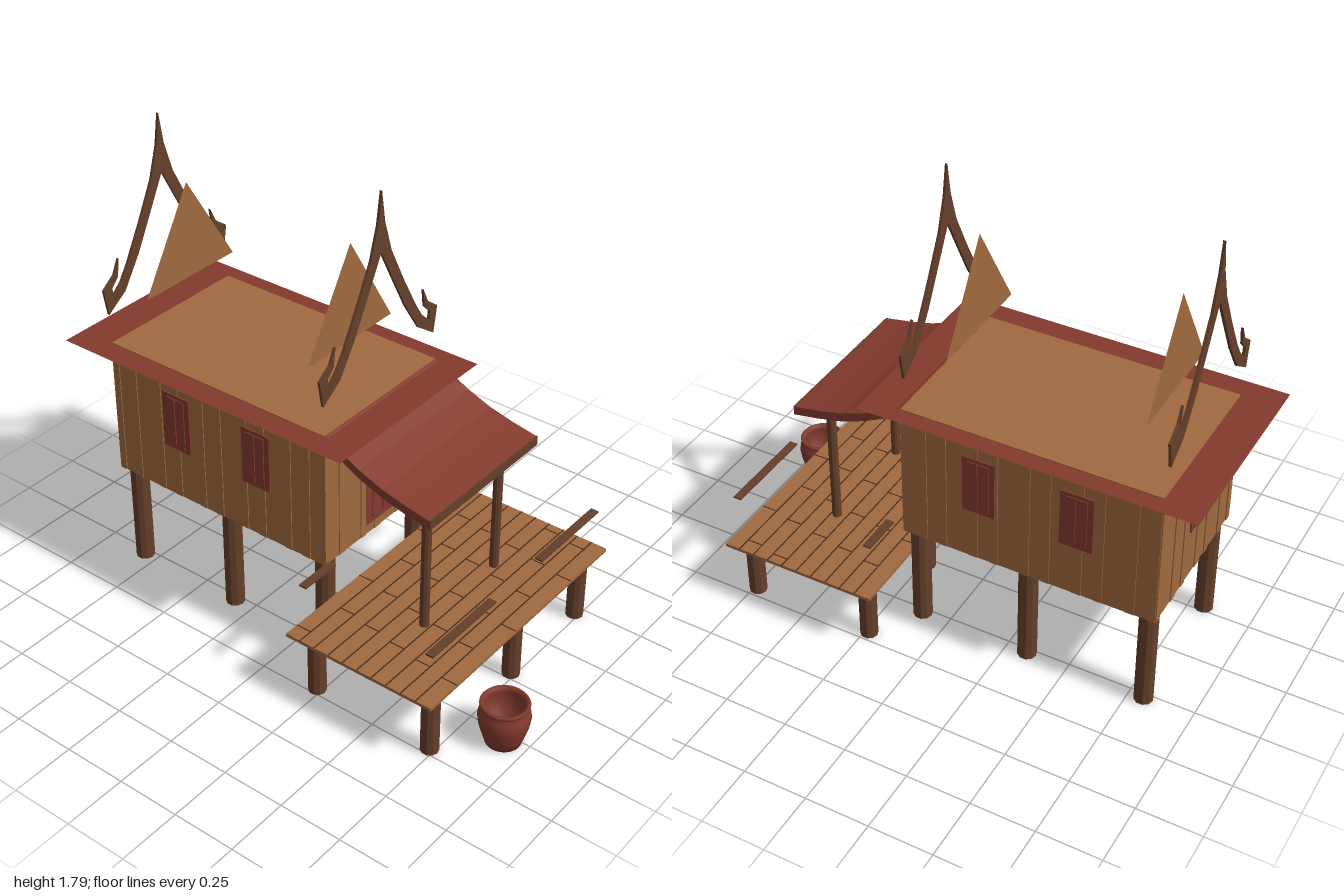
import * as THREE from 'three';

const mat = (name, color, opts = {}) => {
  const m = new THREE.MeshStandardMaterial({ color, ...opts });
  m.name = name;
  return m;
};

export function createModel() {
  const wood = mat('light wood', 0xa0693f, { side: THREE.DoubleSide });
  const red = mat('red clay', 0x843a2f, { side: THREE.DoubleSide });
  const brown = mat('dark wood', 0x653f2b, { flatShading: true });
  const gap = mat('plank gap', 0x4a2e1d);

  const model = new THREE.Group();
  model.name = 'stiltHouse';

  const add = (name, geometry, material, x = 0, y = 0, z = 0, parent = model) => {
    const mesh = new THREE.Mesh(geometry, material);
    mesh.name = name;
    mesh.position.set(x, y, z);
    parent.add(mesh);
    return mesh;
  };
  // Box given by its minimum and maximum on each axis
  const box = (name, material, [x0, x1], [y0, y1], [z0, z1], parent = model) =>
    add(name, new THREE.BoxGeometry(x1 - x0, y1 - y0, z1 - z0), material,
      (x0 + x1) / 2, (y0 + y1) / 2, (z0 + z1) / 2, parent);
  const post = (name, x, z, r, y0, y1) =>
    add(name, new THREE.CylinderGeometry(r, r, y1 - y0, 10), brown, x, (y0 + y1) / 2, z);
  const shapeOf = pts => new THREE.Shape(pts.map(p => new THREE.Vector2(...p)));

  // House body
  const X = [-0.325, 0.32], Z = [-0.85, 0.15], cx = -0.004;
  box('houseBody', wood, X, [0.43, 0.986], Z);

  // Vertical wall boards standing slightly proud, in an irregular rhythm
  const boards = new THREE.Group();
  boards.name = 'wallBoards';
  model.add(boards);
  const t = 0.004;
  const rhythm = [0.03, 0.05, 0.035, 0.09];
  const runBoards = (from, to, place) => {
    for (let p = from, i = 0; p < to; i++) {
      const q = Math.min(p + rhythm[i % 4], to);
      if (i % 2 === 0) place([p, q]);
      p = q;
    }
  };
  runBoards(Z[0], Z[1], s => {
    box('sideBoard', wood, [X[0] - t, X[0]], [0.432, 0.978], s, boards);
    box('sideBoard', wood, [X[1], X[1] + t], [0.432, 0.978], s, boards);
  });
  runBoards(X[0], X[1], s => {
    box('endBoard', wood, s, [0.432, 0.978], [Z[0] - t, Z[0]], boards);
    box('endBoard', wood, s, [0.432, 0.978], [Z[1], Z[1] + t], boards);
  });

  // Shuttered openings: a thin panel with two leaves, facing +z before turning
  const opening = (name, w, h, x, y, z, turn) => {
    const g = new THREE.Group();
    g.name = name;
    g.position.set(x, y, z);
    g.rotation.y = turn;
    add('panel', new THREE.BoxGeometry(w, h, 0.006), red, 0, 0, 0.003, g);
    for (const s of [-1, 1])
      add('leaf', new THREE.BoxGeometry(w * 0.3, h * 0.88, 0.006), red, s * w * 0.17, 0, 0.007, g);
    model.add(g);
  };
  opening('door', 0.18, 0.4, 0, 0.672, Z[1], 0);
  opening('backWindow', 0.128, 0.235, cx, 0.76, Z[0], Math.PI);
  for (const z of [-0.16, -0.54]) {
    opening('leftWindow', 0.128, 0.235, X[1], 0.76, z, Math.PI / 2);
    opening('rightWindow', 0.128, 0.235, X[0], 0.76, z, -Math.PI / 2);
  }

  // House stilts
  for (const x of [-0.274, 0.27])
    for (const z of [0.11, -0.335, -0.808]) post('houseStilt', x, z, 0.037, 0, 0.43);

  // Flat eaves around the top of the walls
  const rect = (x0, x1, z0, z1) => [[x0, -z0], [x1, -z0], [x1, -z1], [x0, -z1]];
  const eaves = shapeOf(rect(-0.415, 0.387, -1, 0.29));
  eaves.holes.push(shapeOf(rect(X[0], X[1], Z[0], Z[1])));
  add('eaves', new THREE.ShapeGeometry(eaves).rotateX(-Math.PI / 2), red, 0, 0.982, 0);

  // Gables: curved bargeboards with hooked ends, and inset triangular panels
  const half = [[0.019, 1.67], [0.057, 1.548], [0.129, 1.405], [0.205, 1.267], [0.243, 1.21],
    [0.286, 1.171], [0.29, 1.205], [0.257, 1.238], [0.248, 1.31], [0.276, 1.252],
    [0.333, 1.21], [0.314, 1.105], [0.224, 1.167], [0.143, 1.29], [0.062, 1.443]];
  const mirrored = half.map(([x, y]) => [-x, y]).reverse();
  const bargeShape = shapeOf([[0, 1.79], ...half, [0, 1.562], ...mirrored]);
  const barge = new THREE.ExtrudeGeometry(bargeShape, { depth: 0.01, bevelEnabled: false });
  const panel = new THREE.ShapeGeometry(shapeOf([[-0.235, 1.172], [0.235, 1.172], [0, 1.555]]));
  for (const [zBarge, zPanel] of [[0.142, 0.02], [-0.858, -0.73]]) {
    add('bargeboard', barge, brown, -0.014, 0, zBarge);
    add('gablePanel', panel, wood, -0.014, 0, zPanel);
  }

  // Curved porch roof, swept along x from a side profile of [z, y]
  const curve = [[0.6, 0.832], [0.5, 0.85], [0.4, 0.874], [0.3, 0.912], [0.22, 0.953], [0.158, 0.985]];
  const under = curve.map(([z, y]) => [z, y - 0.035]).reverse();
  const porch = new THREE.ExtrudeGeometry(
    shapeOf([...curve, ...under].map(([z, y]) => [-z, y])),
    { depth: X[1] - X[0], bevelEnabled: false }).rotateY(Math.PI / 2);
  add('porchRoof', porch, red, X[0], 0, 0);
  box('porchFascia', brown, X, [0.797, 0.834], [0.597, 0.603]);
  for (const x of [-0.22, 0.215]) post('porchPost', x, 0.515, 0.018, 0.275, 0.83);

  // Deck with dark plank gaps and staggered joints
  const DX = [-0.56, 0.557], DZ = [0.162, 0.79], rows = 10, step = (DZ[1] - DZ[0]) / rows;
  box('deck', wood, DX, [0.266, 0.279], DZ);
  for (let i = 0; i < rows; i++) {
    const z = DZ[0] + i * step;
    if (i > 0) box('plankGap', gap, DX, [0.277, 0.2805], [z - 0.0025, z + 0.0025]);
    for (let k = 0; k < 3; k++) {
      const x = DX[0] + 0.06 + ((i * 0.17) % 0.36) + k * 0.36;
      if (x < DX[1] - 0.03)
        box('plankJoint', gap, [x - 0.002, x + 0.002], [0.277, 0.2805], [z, z + step]);
    }
  }
  for (const x of [-0.475, 0.028, 0.46])
    for (const z of [0.232, 0.732]) post('deckStilt', x, z, 0.034, 0, 0.268);

  // Slim rails above the deck
  for (const [x0, x1, z] of [[-0.53, -0.16, 0.757], [0.127, 0.503, 0.757],
    [-0.508, -0.34, 0.197], [0.34, 0.503, 0.197]])
    box('rail', brown, [x0, x1], [0.469, 0.475], [z - 0.016, z + 0.016]);

  // Clay water jar with a hollow inside
  const jar = [[0, 0], [0.066, 0], [0.078, 0.04], [0.09, 0.08], [0.095, 0.115], [0.09, 0.142],
    [0.081, 0.156], [0.088, 0.162], [0.09, 0.17], [0.085, 0.176], [0.074, 0.172],
    [0.072, 0.155], [0.08, 0.115], [0.055, 0.02], [0, 0.02]];
  add('waterJar', new THREE.LatheGeometry(jar.map(p => new THREE.Vector2(...p)), 28), red,
    -0.277, 0, 0.905);

  return model;
}
